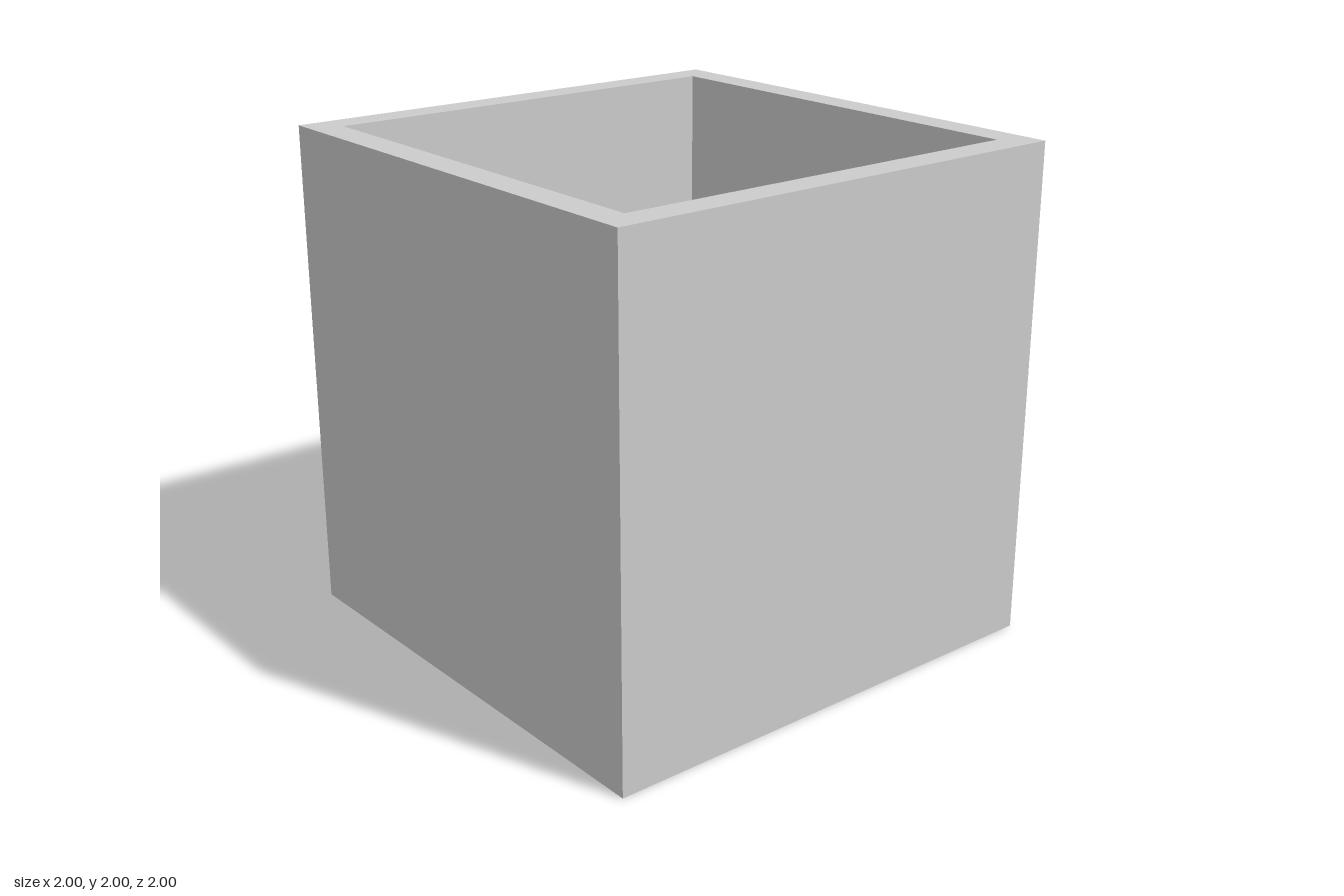
import * as THREE from 'three';

const HALF = 1, HEIGHT = 2, WALL = 0.125;
const FLOOR_BOTTOM = 0.125, FLOOR_TOP = 1.09;

// Closed square outline, usable as a shape or a hole
function square(Type, h) {
  const path = new Type();
  path.moveTo(-h, -h);
  path.lineTo(h, -h);
  path.lineTo(h, h);
  path.lineTo(-h, h);
  path.closePath();
  return path;
}

export function createModel() {
  const group = new THREE.Group();
  group.name = 'planterBox';
  const material = new THREE.MeshStandardMaterial({ color: 0xcccccc });

  // Four walls: a square tube standing upright
  const outline = square(THREE.Shape, HALF);
  outline.holes.push(square(THREE.Path, HALF - WALL));
  const wallGeometry = new THREE.ExtrudeGeometry(outline, { depth: HEIGHT, bevelEnabled: false });
  wallGeometry.rotateX(-Math.PI / 2);
  const walls = new THREE.Mesh(wallGeometry, material);
  walls.name = 'walls';
  group.add(walls);

  // Thick floor block, recessed from the bottom rim
  const inner = 2 * (HALF - WALL);
  const floor = new THREE.Mesh(
    new THREE.BoxGeometry(inner, FLOOR_TOP - FLOOR_BOTTOM, inner), material);
  floor.position.y = (FLOOR_TOP + FLOOR_BOTTOM) / 2;
  floor.name = 'floor';
  group.add(floor);

  return group;
}
